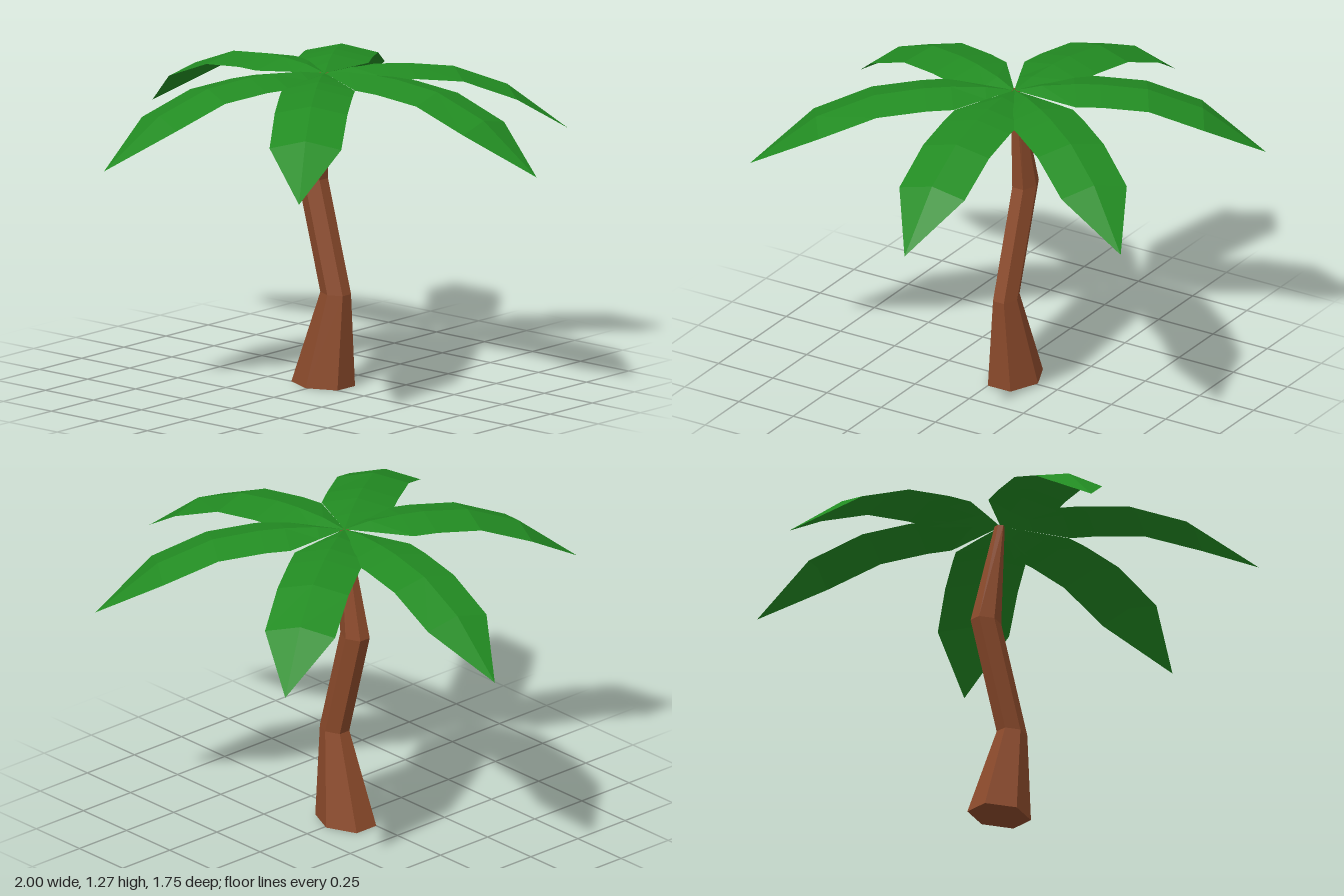
import * as THREE from 'three';

// Skin a list of cross-sections (arrays of [x, y, z]) with quads
function loft(rings, closed) {
  const n = rings[0].length, index = [];
  const spans = closed ? n : n - 1;
  for (let i = 0; i < rings.length - 1; i++) {
    for (let j = 0; j < spans; j++) {
      const a = i * n + j, b = i * n + (j + 1) % n;
      index.push(a, a + n, b, b, a + n, b + n);
    }
  }
  if (closed) { // end caps
    const last = (rings.length - 1) * n;
    for (let j = 1; j < n - 1; j++) {
      index.push(0, j, j + 1, last, last + j + 1, last + j);
    }
  }
  const geometry = new THREE.BufferGeometry();
  geometry.setAttribute('position', new THREE.Float32BufferAttribute(rings.flat(2), 3));
  geometry.setIndex(index);
  geometry.computeVertexNormals();
  return geometry;
}

// Bent six-sided trunk: height, centre x, centre z, radius x, radius z
function trunkGeometry() {
  const sections = [
    [0, -0.008, -0.052, 0.12, 0.104],
    [0.375, 0.058, -0.051, 0.058, 0.05],
    [0.82, -0.07, -0.06, 0.058, 0.05],
    [1.25, -0.003, -0.055, 0.017, 0.022],
  ];
  const hexagon = [[0, 1], [-1, 0.5], [-1, -0.5], [0, -1], [1, -0.5], [1, 0.5]];
  return loft(sections.map(([y, cx, cz, rx, rz]) =>
    hexagon.map(([x, z]) => [cx + x * rx, y, cz + z * rz])), true);
}

// Drooping leaf along +x: distance, half width, ridge height, edge height
function leafGeometry() {
  const sections = [
    [0, 0, 1.25, 1.25],
    [0.11, 0.066, 1.268, 1.246],
    [0.24, 0.143, 1.273, 1.24],
    [0.34, 0.143, 1.27, 1.237],
    [0.53, 0.143, 1.246, 1.215],
    [0.75, 0.141, 1.16, 1.128],
    [1, 0, 0.966, 0.966],
  ];
  return loft(sections.map(([x, w, ridge, edge]) =>
    [[x, edge, w], [x, ridge, 0], [x, edge, -w]]), false);
}

export function createModel() {
  const model = new THREE.Group();
  model.name = 'palmTree';
  const bark = new THREE.MeshStandardMaterial({ color: 0x8b4a2b, flatShading: true, side: THREE.DoubleSide });
  const green = new THREE.MeshStandardMaterial({ color: 0x228b22, flatShading: true, side: THREE.DoubleSide });

  const trunk = new THREE.Mesh(trunkGeometry(), bark);
  trunk.name = 'trunk';
  model.add(trunk);

  // Leaves fan out from the crown towards these tips (x, z)
  const crownZ = -0.052;
  const leaf = leafGeometry();
  const tips = [[1, -0.17], [0.54, -0.88], [-0.55, -0.87], [-1, -0.17], [-0.34, 0.87], [0.605, 0.79]];
  tips.forEach(([x, z], i) => {
    const mesh = new THREE.Mesh(leaf, green);
    mesh.name = `leaf${i + 1}`;
    mesh.position.z = crownZ;
    mesh.rotation.y = -Math.atan2(z - crownZ, x);
    mesh.scale.x = Math.hypot(x, z - crownZ);
    model.add(mesh);
  });
  return model;
}
